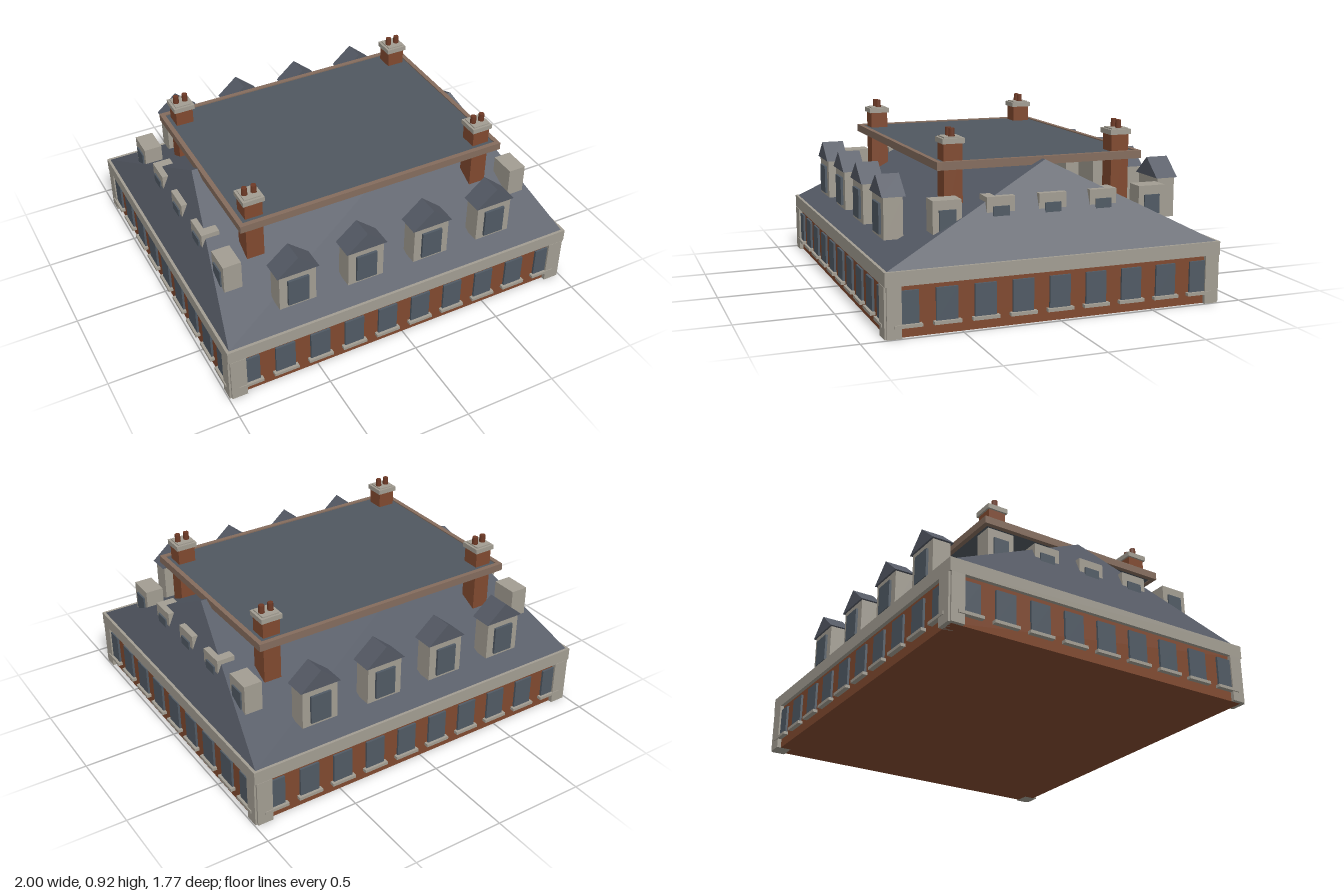
import * as THREE from 'three';

const mat = (name, color) => {
  const m = new THREE.MeshStandardMaterial({ color });
  m.name = name;
  return m;
};

export function createModel() {
  const brick = mat('brick', 0x80492f);
  const stone = mat('stone', 0xa29d92);
  const slate = mat('slate', 0x545964);
  const deckSlate = mat('deck slate', 0x505860);
  const glass = mat('window glass', 0x505a64);
  const tan = mat('parapet', 0x846c5d);
  const pot = mat('chimney pot', 0x6e3a26);

  const house = new THREE.Group();
  house.name = 'house';

  // Box given by its limits on each axis
  const box = (name, material, x0, x1, y0, y1, z0, z1, parent = house) => {
    const mesh = new THREE.Mesh(new THREE.BoxGeometry(x1 - x0, y1 - y0, z1 - z0), material);
    mesh.position.set((x0 + x1) / 2, (y0 + y1) / 2, (z0 + z1) / 2);
    mesh.name = name;
    parent.add(mesh);
    return mesh;
  };
  const group = (name, x = 0, y = 0, z = 0, turn = 0) => {
    const g = new THREE.Group();
    g.name = name;
    g.position.set(x, y, z);
    g.rotation.y = turn;
    house.add(g);
    return g;
  };

  // Walls and cornice
  box('brickWalls', brick, -0.975, 0.975, 0, 0.26, -0.86, 0.86);
  box('cornice', stone, -0.995, 0.995, 0.25, 0.32, -0.88, 0.88);

  // Corner strips: one plate on each face of every corner
  for (const sx of [-1, 1]) for (const sz of [-1, 1]) {
    const c = group('cornerStrip');
    const a = box('cornerPlate', stone, 0.9, 0.985, 0, 0.25, 0.8, 0.882, c);
    const b = box('cornerSidePlate', stone, 0.93, 0.995, 0, 0.25, 0.8, 0.872, c);
    for (const m of [a, b]) {
      m.position.x *= sx;
      m.position.z *= sz;
    }
  }

  // Rows of windows; each wall is built facing +z and then turned
  const walls = [
    ['frontWindows', 10, 0.195, 0.86, 0],
    ['leftWindows', 9, 0.192, 0.975, Math.PI / 2],
    ['backWindows', 10, 0.195, 0.86, Math.PI],
    ['rightWindows', 9, 0.192, 0.975, -Math.PI / 2],
  ];
  for (const [name, count, step, d, turn] of walls) {
    const row = group(name, 0, 0, 0, turn);
    for (let i = 0; i < count; i++) {
      const x = (i - (count - 1) / 2) * step;
      box('window', glass, x - 0.054, x + 0.054, 0.06, 0.225, d - 0.02, d + 0.012, row);
      box('sill', stone, x - 0.068, x + 0.068, 0.05, 0.066, d - 0.02, d + 0.026, row);
    }
  }

  // Hipped roof with a short-ended ridge: a box whose top edge is pinched
  const roofGeo = new THREE.BoxGeometry(1.96, 0.44, 1.73).toNonIndexed();
  const p = roofGeo.attributes.position;
  for (let i = 0; i < p.count; i++) {
    if (p.getY(i) > 0) p.setXYZ(i, Math.sign(p.getX(i)) * 0.787, 0.22, 0);
  }
  roofGeo.computeVertexNormals();
  const roof = new THREE.Mesh(roofGeo, slate);
  roof.name = 'hippedRoof';
  roof.position.y = 0.54;
  house.add(roof);

  // Flat roof deck and its parapet frame
  box('roofDeck', deckSlate, -0.74, 0.74, 0.735, 0.764, -0.53, 0.53);
  for (const s of [-1, 1]) {
    box('parapetLong', tan, -0.755, 0.755, 0.73, 0.77, s * 0.5325 - 0.0125, s * 0.5325 + 0.0125);
    box('parapetShort', tan, s * 0.7425 - 0.0125, s * 0.7425 + 0.0125, 0.73, 0.77, -0.52, 0.52);
  }

  // Gabled dormers on front and back
  const gable = new THREE.Shape([
    new THREE.Vector2(-0.114, 0), new THREE.Vector2(0.114, 0), new THREE.Vector2(0, 0.097),
  ]);
  const gableGeo = new THREE.ExtrudeGeometry(gable, { depth: 0.12, bevelEnabled: false });
  for (const turn of [0, Math.PI]) {
    const row = group(turn ? 'backDormers' : 'frontDormers', 0, 0, 0, turn);
    for (let i = 0; i < 4; i++) {
      const x = (i - 1.5) * 0.38;
      box('dormerBody', stone, x - 0.1, x + 0.1, 0.393, 0.604, 0.692, 0.79, row);
      box('dormerWindow', glass, x - 0.057, x + 0.057, 0.413, 0.566, 0.77, 0.803, row);
      const cap = new THREE.Mesh(gableGeo, slate);
      cap.name = 'dormerRoof';
      cap.position.set(x, 0.603, 0.68);
      row.add(cap);
    }
  }

  // Box dormers on both sides
  for (const s of [-1, 1]) {
    const row = group(s > 0 ? 'leftDormers' : 'rightDormers', 0, 0, 0, s * Math.PI / 2);
    for (let i = -2; i <= 2; i++) {
      const x = i * 0.27;
      box('sideDormerBody', stone, x - 0.072, x + 0.072, 0.452, 0.612, 0.788, 0.885, row);
      box('sideDormerWindow', glass, x - 0.042, x + 0.042, 0.468, 0.566, 0.87, 0.893, row);
    }
  }

  // Chimneys with stepped caps and paired pots
  const potGeo = new THREE.CylinderGeometry(0.015, 0.017, 0.045, 8);
  for (const x of [-0.66, 0.66]) for (const z of [-0.448, 0.448]) {
    const c = group('chimney', x, 0, z);
    box('chimneyShaft', brick, -0.048, 0.048, 0.42, 0.855, -0.048, 0.048, c);
    box('chimneyCap', stone, -0.058, 0.058, 0.85, 0.876, -0.057, 0.057, c);
    box('chimneyCapTop', stone, -0.045, 0.045, 0.87, 0.882, -0.045, 0.045, c);
    for (const dx of [-0.025, 0.025]) {
      const m = new THREE.Mesh(potGeo, pot);
      m.name = 'chimneyPot';
      m.position.set(dx, 0.9, 0);
      c.add(m);
    }
  }

  return house;
}
